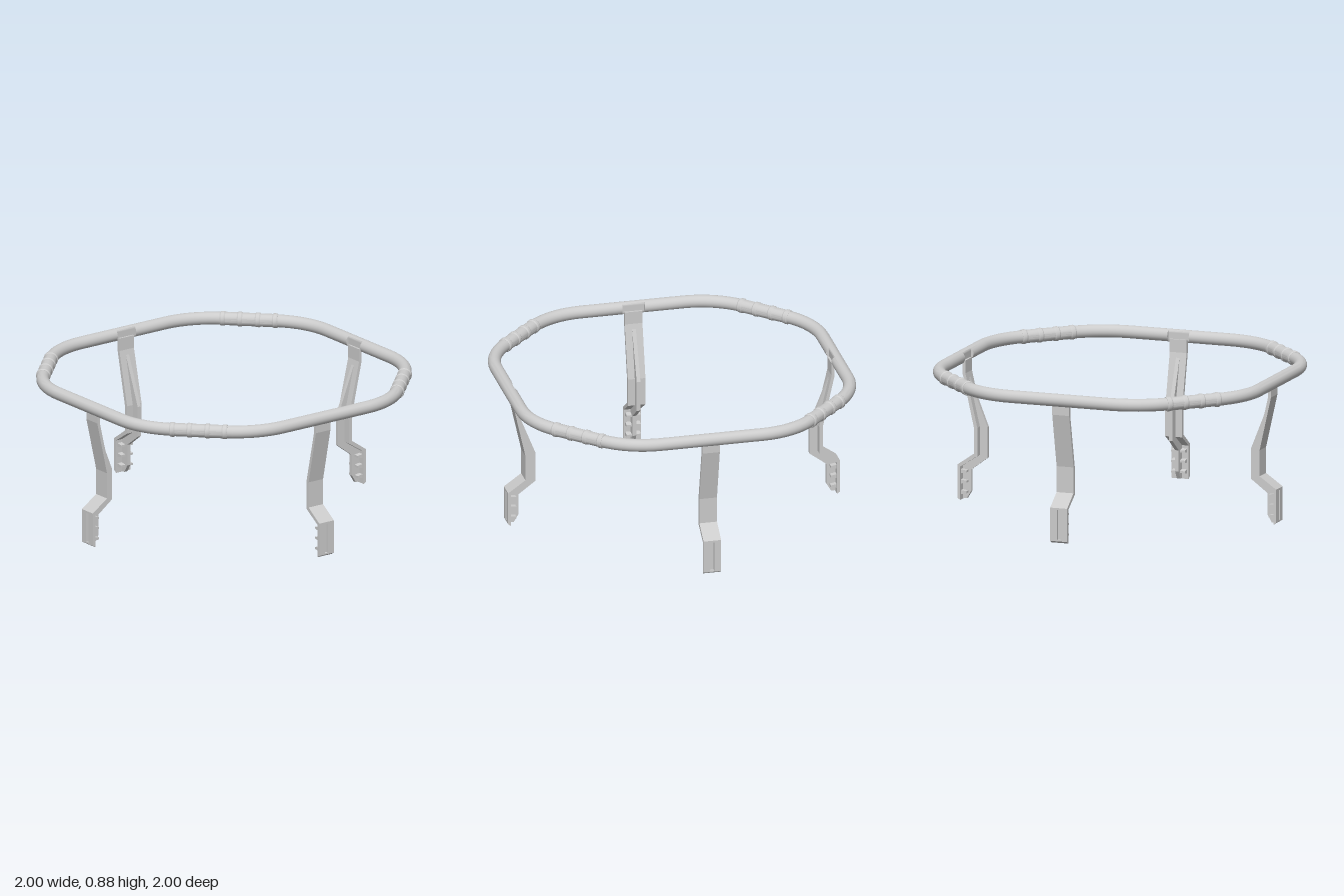
import * as THREE from 'three';
import { toCreasedNormals } from 'three/addons/utils/BufferGeometryUtils.js';

const material = new THREE.MeshStandardMaterial({ color: 0xcccccc });
const RING_Y = 0.836, REACH = 0.963, TUBE = 0.037, HALF = 0.3, BEND = 0.45;

function mesh(name, geometry) {
  const m = new THREE.Mesh(geometry, material);
  m.name = name;
  return m;
}

// Centre line of the ring: a square with chamfered, rounded corners.
function ringStations() {
  const quarter = [];
  for (const u of [-HALF, -0.066, -0.065, 0.065, 0.066, HALF]) {
    quarter.push({ x: u, z: REACH, a: 0, notch: Math.abs(u) < 0.0655 });
  }
  const arc = (cx, cz, start, from, to) => {
    for (let i = from; i <= to; i++) {
      const a = start + (i / 8) * Math.PI / 4;
      quarter.push({ x: cx + BEND * Math.sin(a), z: cz + BEND * Math.cos(a), a });
    }
  };
  arc(HALF, REACH - BEND, 0, 1, 8);
  arc(REACH - BEND, HALF, Math.PI / 4, 0, 7);
  const all = [];
  for (let k = 0; k < 4; k++) {
    const r = k * Math.PI / 2, c = Math.cos(r), s = Math.sin(r);
    for (const p of quarter) {
      all.push({ x: p.x * c + p.z * s, z: p.z * c - p.x * s, a: p.a + r, notch: p.notch });
    }
  }
  return all;
}

// Round tube swept along the stations, cut flat on the inside at each leg.
function ringGeometry() {
  const stations = ringStations(), sides = 24, pos = [], index = [];
  for (const p of stations) {
    for (let j = 0; j < sides; j++) {
      const t = (j / sides) * Math.PI * 2;
      let out = TUBE * Math.cos(t);
      if (p.notch) out = Math.max(out, -0.021);
      pos.push(p.x + out * Math.sin(p.a), RING_Y + TUBE * Math.sin(t), p.z + out * Math.cos(p.a));
    }
  }
  const n = stations.length;
  for (let i = 0; i < n; i++) {
    for (let j = 0; j < sides; j++) {
      const i2 = (i + 1) % n, j2 = (j + 1) % sides;
      const a = i * sides + j, b = i2 * sides + j, c = i2 * sides + j2, d = i * sides + j2;
      index.push(a, b, c, a, c, d);
    }
  }
  const g = new THREE.BufferGeometry();
  g.setAttribute('position', new THREE.Float32BufferAttribute(pos, 3));
  g.setIndex(index);
  return toCreasedNormals(g, 0.6);
}

// Sleeve with four raised ridges, lying along a diagonal of the ring.
function collarGeometry() {
  const profile = [[0.03, -0.168]];
  for (const s of [-0.152, -0.052, 0.052, 0.152]) {
    profile.push([0.0385, s - 0.016], [0.0425, s - 0.009], [0.0425, s + 0.009], [0.0385, s + 0.016]);
  }
  profile.push([0.03, 0.168]);
  const g = new THREE.LatheGeometry(profile.map(([r, y]) => new THREE.Vector2(r, y)), 24);
  return toCreasedNormals(g.rotateZ(-Math.PI / 2), 0.4);
}

// Side outline in x and y, given thickness along z.
function slab(points, width, z = 0) {
  const shape = new THREE.Shape(points.map(([x, y]) => new THREE.Vector2(x, y)));
  return new THREE.ExtrudeGeometry(shape, { depth: width, bevelEnabled: false }).translate(0, 0, z - width / 2);
}

function createLeg() {
  const leg = new THREE.Group();
  leg.name = 'leg';

  // Bent strap from the ring down to the foot.
  leg.add(mesh('legStrap', slab([
    [0.948, 0.82], [0.93, 0.82], [0.93, 0.745], [0.857, 0.43], [0.857, 0.265], [0.964, 0.195],
    [0.98, 0.195], [0.98, 0.207], [0.878, 0.278], [0.878, 0.43], [0.948, 0.745],
  ], 0.104)));

  // Stiffening rib on the inner side, tapering out towards the top.
  leg.add(mesh('legRib', slab([
    [0.935, 0.745], [0.81, 0.43], [0.81, 0.25], [0.91, 0.175], [0.91, 0.05], [0.937, 0.005],
    [0.965, 0.005], [0.965, 0.2], [0.862, 0.267], [0.862, 0.43],
  ], 0.022)));

  // Foot plate in two halves, leaving a groove down the outside.
  for (const side of [-1, 1]) {
    leg.add(mesh('footPlate', slab(
      [[0.962, 0], [0.98, 0.012], [0.98, 0.2], [0.962, 0.2]], 0.041, side * 0.0315)));
    // Small teeth between the plate and the rib.
    for (const y of [0.167, 0.107, 0.045]) {
      leg.add(mesh('footTooth', slab(
        [[0.964, y - 0.012], [0.964, y + 0.012], [0.928, y + 0.006], [0.928, y - 0.006]], 0.032, side * 0.026)));
    }
  }
  leg.add(mesh('footBar', slab([[0.962, 0], [0.98, 0.012], [0.98, 0.02], [0.962, 0.02]], 0.024)));
  return leg;
}

export function createModel() {
  const model = new THREE.Group();
  model.name = 'ringStand';
  model.add(mesh('ring', ringGeometry()));

  const diagonal = (HALF + REACH - BEND) / 2 + BEND * Math.SQRT1_2;
  const collarShape = collarGeometry();
  for (let k = 0; k < 4; k++) {
    const turn = k * Math.PI / 2, a = turn + Math.PI / 4;
    const collar = mesh('collar', collarShape);
    collar.position.set(diagonal * Math.SQRT2 * Math.sin(a), RING_Y, diagonal * Math.SQRT2 * Math.cos(a));
    collar.rotation.y = a;
    model.add(collar);

    const leg = createLeg();
    leg.rotation.y = turn;
    model.add(leg);
  }
  return model;
}
